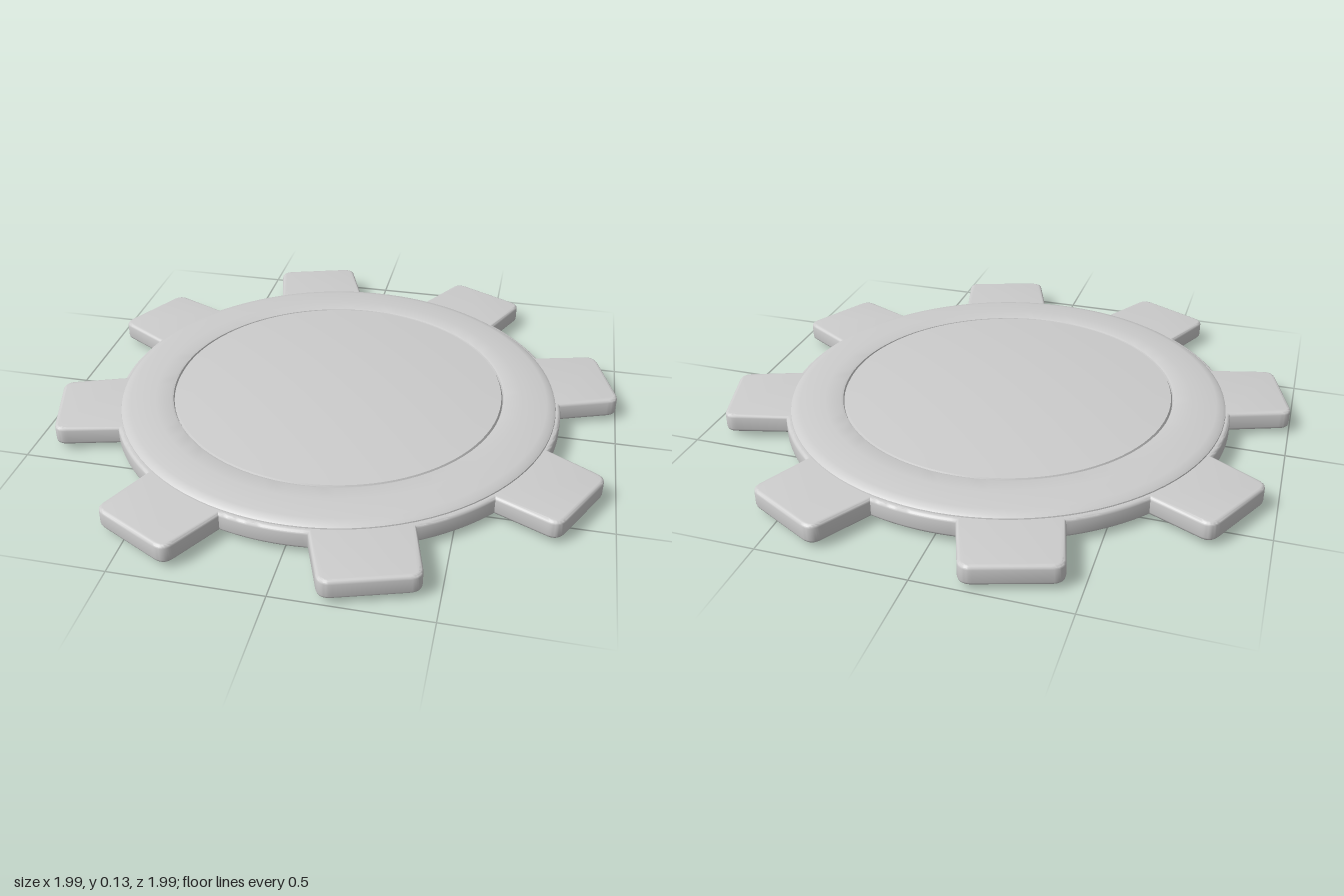
import * as THREE from 'three';
import { toCreasedNormals } from 'three/addons/utils/BufferGeometryUtils.js';

const TEETH = 8;
const OFFSET = THREE.MathUtils.degToRad(17.5);
const BODY_R = 0.8;

// Gear outline: arcs at the root circle and tapered teeth with rounded corners
function gearOutline() {
  const shape = new THREE.Shape();
  const root = 0.167, tip = 0.158, outer = 1.006, r = 0.045;
  const rootAngle = Math.asin(root / BODY_R);
  for (let i = 0; i < TEETH; i++) {
    const a = OFFSET + (i * Math.PI * 2) / TEETH;
    const c = Math.cos(a), s = Math.sin(a);
    const at = (u, v) => [u * c - v * s, u * s + v * c];
    const base = Math.sqrt(BODY_R ** 2 - root ** 2);
    if (i === 0) shape.moveTo(...at(base, -root));
    shape.lineTo(...at(outer - r, -tip));
    shape.quadraticCurveTo(...at(outer, -tip), ...at(outer, -tip + r));
    shape.lineTo(...at(outer, tip - r));
    shape.quadraticCurveTo(...at(outer, tip), ...at(outer - r, tip));
    shape.lineTo(...at(base, root));
    shape.absarc(0, 0, BODY_R, a + rootAngle, a + (Math.PI * 2) / TEETH - rootAngle, false);
  }
  return shape;
}

// Turned part from [radius, height] points, listed from bottom to top
function turned(points, material, name) {
  const profile = points.map(([x, y]) => new THREE.Vector2(x, y));
  const geometry = toCreasedNormals(new THREE.LatheGeometry(profile, 96), 0.45);
  const mesh = new THREE.Mesh(geometry, material);
  mesh.name = name;
  return mesh;
}

export function createModel() {
  const group = new THREE.Group();
  group.name = 'gearDisc';
  const metal = new THREE.MeshStandardMaterial({ color: 0xcccccc });
  metal.name = 'light grey';

  // Toothed body
  const bevel = 0.012;
  const body = new THREE.ExtrudeGeometry(gearOutline(), {
    depth: 0.068 - 2 * bevel, bevelEnabled: true, bevelThickness: bevel,
    bevelSize: bevel, bevelOffset: -bevel, bevelSegments: 3, curveSegments: 10,
  });
  body.rotateX(-Math.PI / 2);
  body.translate(0, 0.02 + bevel, 0);
  const gear = new THREE.Mesh(toCreasedNormals(body, 0.6), metal);
  gear.name = 'toothedBody';
  group.add(gear);

  // Raised ring on the top, with a fine groove at its inner edge
  group.add(turned([
    [0.785, 0.08], [0.782, 0.092], [0.772, 0.099], [0.75, 0.104],
    [0.66, 0.109], [0.605, 0.109], [0.597, 0.106], [0.594, 0.098],
  ], metal, 'topRing'));

  // Shallow dome in the middle
  const dome = [[0.594, 0.098], [0.589, 0.107]];
  for (let i = 1; i <= 10; i++) {
    const r = 0.589 * (1 - i / 10);
    dome.push([r, 0.134 - 0.027 * (r / 0.589) ** 2]);
  }
  group.add(turned(dome, metal, 'topDome'));

  // Low plate and disc underneath
  group.add(turned([
    [0, 0], [0.3, 0.001], [0.5, 0.004], [0.58, 0.007], [0.6, 0.010],
    [0.64, 0.010], [0.74, 0.012], [0.765, 0.016], [0.775, 0.024],
  ], metal, 'bottomPlate'));

  return group;
}
